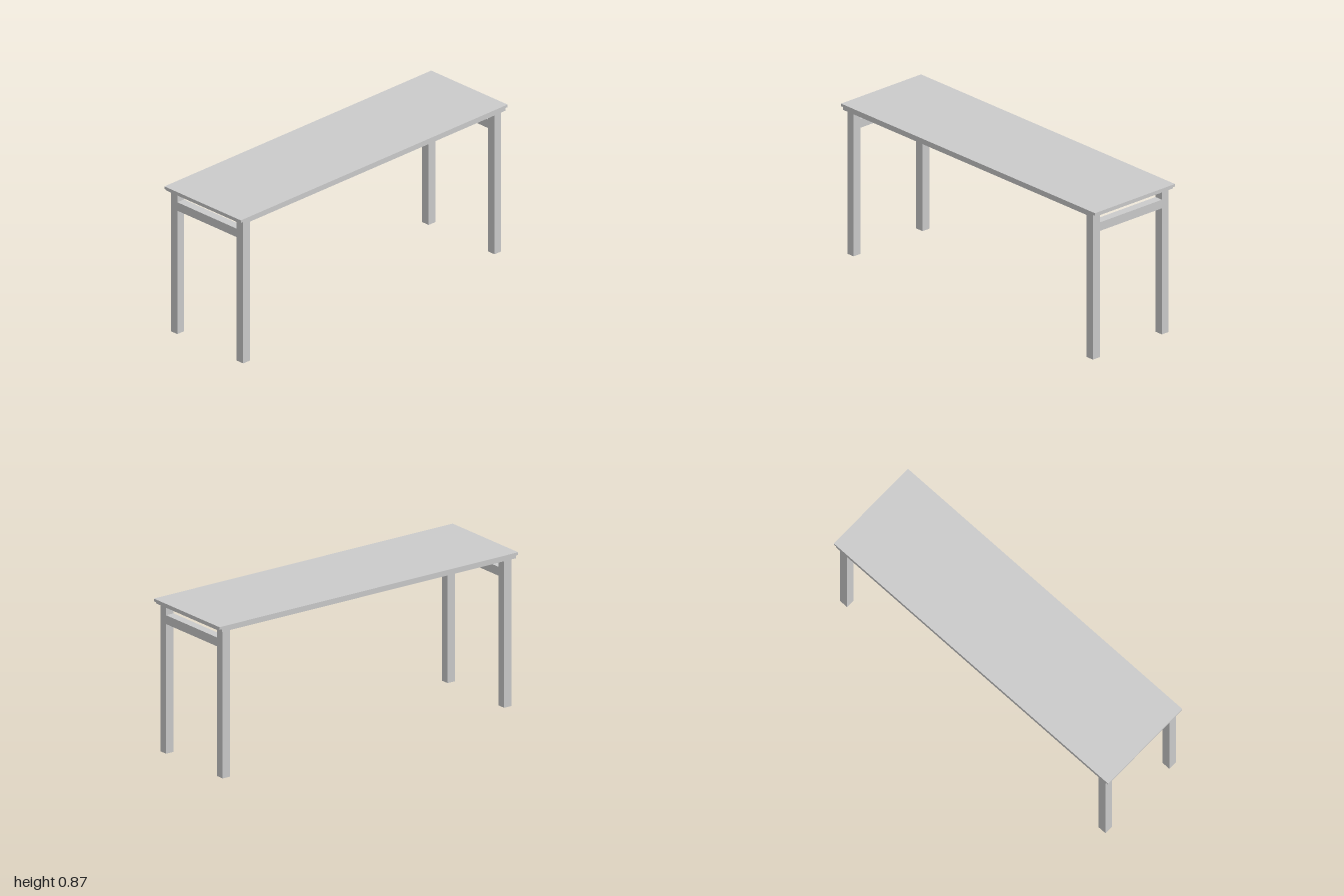
import * as THREE from 'three';

const material = new THREE.MeshStandardMaterial({ color: 0xcccccc, flatShading: true });

function addBox(group, name, [w, h, d], [x, y, z]) {
  const mesh = new THREE.Mesh(new THREE.BoxGeometry(w, h, d), material);
  mesh.name = name;
  mesh.position.set(x, y, z);
  group.add(mesh);
}

// Two legs joined by a flush cross rail, cut as one H-shaped outline
function endFrameGeometry(depth) {
  const outer = 0.275, inner = 0.225, top = 0.835, railTop = 0.783, railBottom = 0.733;
  const half = [
    [inner, railBottom], [inner, 0], [outer, 0],
    [outer, top], [inner, top], [inner, railTop],
  ];
  const mirrored = half.map(([x, y]) => [-x, y]).reverse();
  const shape = new THREE.Shape([...half, ...mirrored].map(([x, y]) => new THREE.Vector2(x, y)));
  return new THREE.ExtrudeGeometry(shape, { depth, bevelEnabled: false }).translate(0, 0, -depth / 2);
}

export function createModel() {
  const table = new THREE.Group();
  table.name = 'table';

  // Top board overhangs the slightly shorter board beneath it
  addBox(table, 'tableTop', [0.58, 0.015, 2], [0, 0.8585, 0]);
  addBox(table, 'underTop', [0.58, 0.016, 1.968], [0, 0.843, 0]);

  // Matching leg frames at both ends
  const frame = endFrameGeometry(0.05);
  for (const [name, z] of [['frontLegFrame', 0.942], ['backLegFrame', -0.942]]) {
    const mesh = new THREE.Mesh(frame, material);
    mesh.name = name;
    mesh.position.z = z;
    table.add(mesh);
  }
  return table;
}
